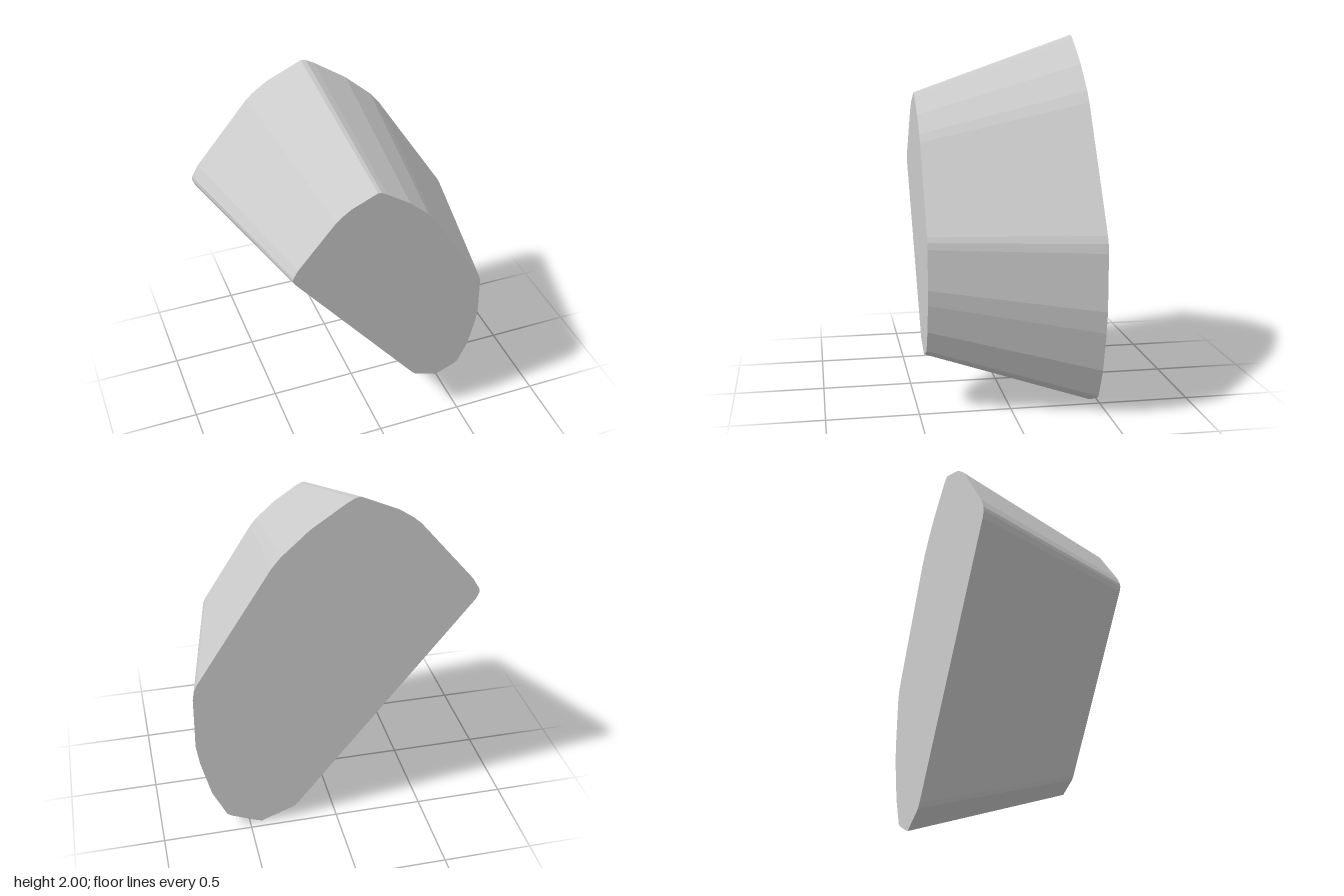
import * as THREE from 'three';

// Rear outline of the block (x, y), clockwise from the top
const OUTLINE = [
  [-0.12, 2.0], [-0.09, 1.995], [-0.045, 1.97], [0.14, 1.845], [0.29, 1.71], [0.34, 1.65],
  [0.755, 1.0], [0.772, 0.96], [0.78, 0.91], [0.783, 0.6], [0.765, 0.48], [0.71, 0.26],
  [0.63, 0.09], [0.6, 0.07], [0.455, 0.008], [0.43, 0.0], [0.41, 0.01], [0.24, 0.075],
  [0.215, 0.1], [-0.77, 1.335], [-0.785, 1.37], [-0.783, 1.395], [-0.745, 1.46],
  [-0.44, 1.82], [-0.4, 1.855], [-0.32, 1.91],
];
const DEPTH = 0.915;
const TAPER = 0.7;

export function createModel() {
  const group = new THREE.Group();
  group.name = 'taperedBlock';

  const stone = new THREE.MeshStandardMaterial({ color: 0xcccccc });
  stone.name = 'light grey';

  const shape = new THREE.Shape(OUTLINE.map(([x, y]) => new THREE.Vector2(x, y)));
  const geometry = new THREE.ExtrudeGeometry(shape, { depth: DEPTH, bevelEnabled: false });
  geometry.translate(0, 0, -DEPTH / 2);

  // Shrink the front end toward its own centre
  const p = geometry.attributes.position;
  for (let i = 0; i < p.count; i++) {
    if (p.getZ(i) > 0) p.setXY(i, p.getX(i) * TAPER + 0.057, p.getY(i) * TAPER + 0.29);
  }
  geometry.computeVertexNormals();

  const block = new THREE.Mesh(geometry, stone);
  block.name = 'block';
  group.add(block);
  return group;
}
